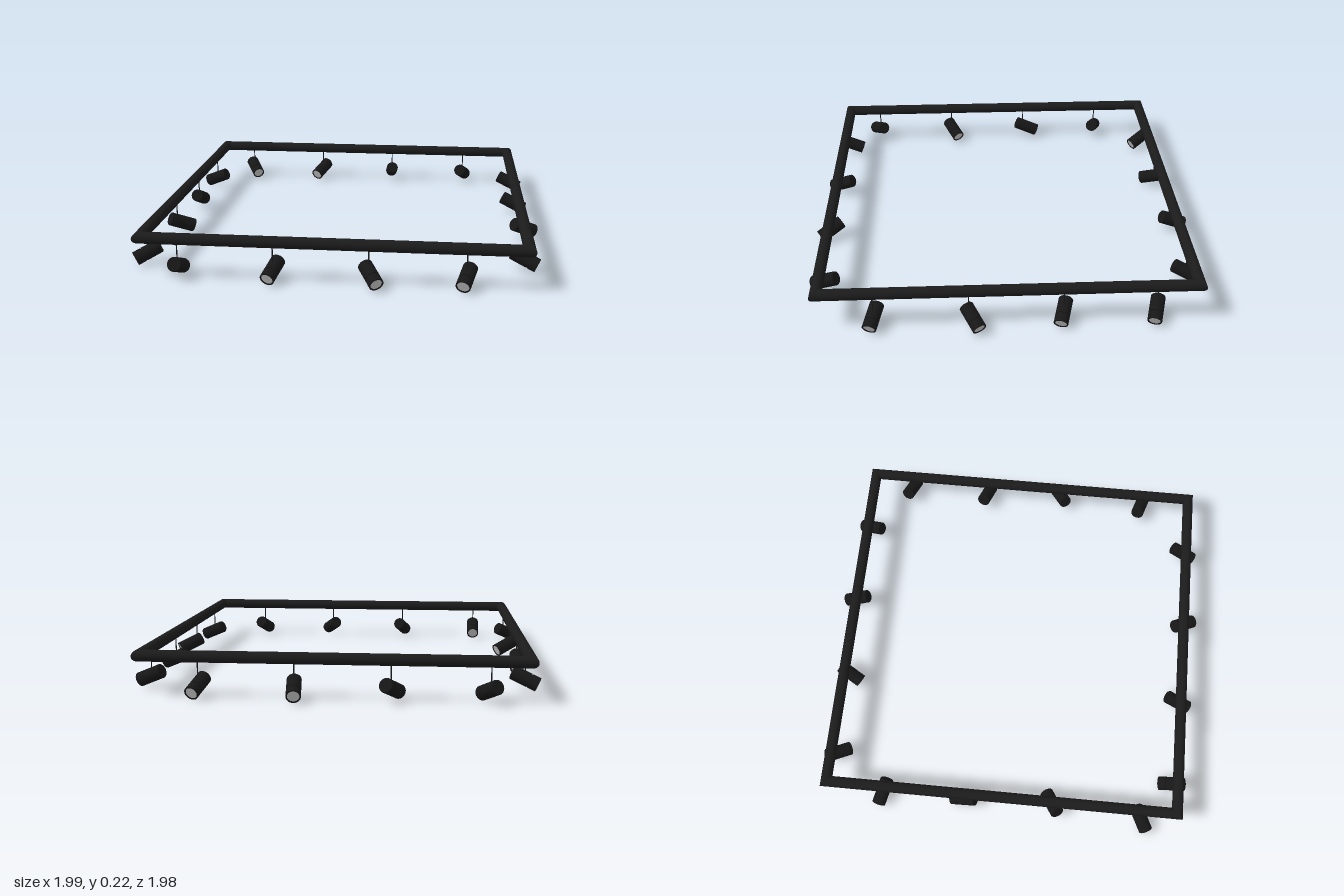
import * as THREE from 'three';

const black = new THREE.MeshStandardMaterial({ color: 0x1b1b1c });
black.name = 'matte black';
const bodyBlack = new THREE.MeshStandardMaterial({ color: 0x171718 });
bodyBlack.name = 'lamp black';
const lensWhite = new THREE.MeshStandardMaterial({ color: 0xc4c4c4 });
lensWhite.name = 'lens white';

const HALF = 0.898, CX = -0.01, CZ = -0.006, BAR_Y = 0.197, BAR_R = 0.028;
const LAMP_Y = 0.063, LAMP_R = 0.035, LAMP_L = 0.136, TILT = 0.4;

function mesh(name, geometry, material) {
  const m = new THREE.Mesh(geometry, material);
  m.name = name;
  return m;
}

// One side of the square: a tube whose ends are sheared to 45 degree mitres
function mitredBar() {
  const g = new THREE.CylinderGeometry(BAR_R, BAR_R, 2 * HALF, 20, 1, true);
  g.rotateZ(Math.PI / 2);
  const p = g.attributes.position;
  for (let i = 0; i < p.count; i++) {
    p.setX(i, p.getX(i) + Math.sign(p.getX(i)) * p.getZ(i));
  }
  return g;
}

// Lamp housing turned around y, later laid along +z; has a seam near the lens
function housingGeometry() {
  const a = LAMP_L / 2, r = LAMP_R, seam = a - 0.042;
  const outline = [
    [0, -a], [r - 0.004, -a], [r - 0.004, -a], [r, -a + 0.004], [r, -a + 0.004],
    [r, seam - 0.004], [r, seam - 0.004], [r - 0.004, seam - 0.004], [r - 0.004, seam - 0.004],
    [r - 0.004, seam], [r - 0.004, seam], [r, seam], [r, seam],
    [r, a], [r, a], [r - 0.006, a], [r - 0.006, a], [r - 0.007, a - 0.004],
  ];
  // Repeated points keep the rims crisp
  const g = new THREE.LatheGeometry(outline.map(([x, y]) => new THREE.Vector2(x, y)), 24);
  g.rotateX(Math.PI / 2);
  return g;
}

const housing = housingGeometry();
const lens = new THREE.CircleGeometry(LAMP_R - 0.006, 24);
const cordTop = BAR_Y - BAR_R + 0.004;
const cord = new THREE.CylinderGeometry(0.003, 0.003, cordTop - LAMP_Y, 8);

// A lamp hung at (x, z), aimed along (dx, dz) and tipped downwards
function spotlight(x, z, dx, dz, shift) {
  const lamp = new THREE.Group();
  lamp.name = 'spotlight';
  lamp.position.set(x, 0, z);

  const wire = mesh('cord', cord, black);
  wire.position.y = (cordTop + LAMP_Y) / 2;

  const head = new THREE.Group();
  head.name = 'lampHead';
  const len = Math.hypot(dx, dz);
  head.position.set(dx / len * shift, LAMP_Y, dz / len * shift);
  head.rotation.set(TILT, Math.atan2(dx, dz), 0, 'YXZ');
  const glass = mesh('lens', lens, lensWhite);
  glass.position.z = LAMP_L / 2 - 0.003;
  head.add(mesh('housing', housing, bodyBlack), glass);

  lamp.add(wire, head);
  return lamp;
}

export function createModel() {
  const model = new THREE.Group();
  model.name = 'squareTrackLight';

  // Square frame
  const frame = new THREE.Group();
  frame.name = 'frame';
  frame.position.set(CX, BAR_Y, CZ);
  const bar = mitredBar();
  for (let i = 0; i < 4; i++) {
    const side = new THREE.Group();
    side.name = 'frameSide';
    side.rotation.y = i * Math.PI / 2;
    const m = mesh('bar', bar, black);
    m.position.z = HALF;
    side.add(m);
    frame.add(side);
  }
  model.add(frame);

  // Lamps: x, z, aim x, aim z, forward shift
  const xL = CX - HALF, xR = CX + HALF, zB = CZ - HALF, zF = CZ + HALF;
  const lamps = [
    [-0.73, zF, 0.03, -1, 0.014], [-0.28, zF, -0.28, 0.96, 0],
    [0.165, zF, 0.5, 0.87, 0.02], [0.612, zF, -0.28, 0.96, 0],
    [-0.73, zB, 0.5, 0.87, 0.012], [-0.28, zB, -0.45, 0.87, 0.01],
    [0.165, zB, -0.1, -1, 0.02], [0.612, zB, 0.28, -0.96, 0],
    [xL, -0.628, -0.96, -0.28, 0], [xL, -0.18, 0.05, -1, 0.022],
    [xL, 0.27, 0.87, -0.5, 0.022], [xL, 0.714, -0.87, 0.5, 0.02],
    [xR, -0.709, 0.96, 0.28, 0.003], [xR, -0.265, 0.96, 0.28, 0.003],
    [xR, 0.184, 0.87, -0.5, 0.035], [xR, 0.634, 0.96, 0.28, 0.003],
  ];
  for (const l of lamps) model.add(spotlight(...l));

  return model;
}
